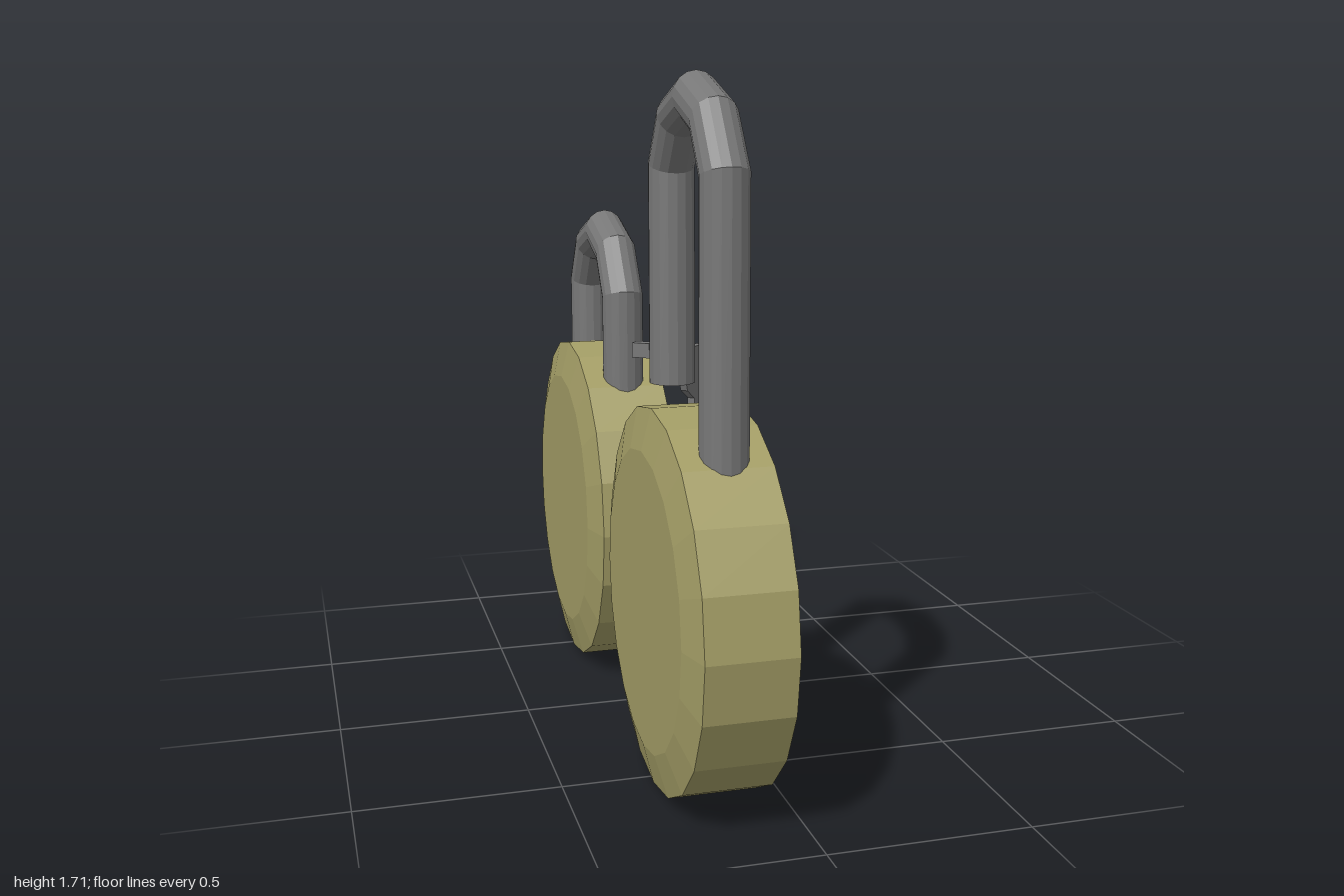
import * as THREE from 'three';

const brass = new THREE.MeshStandardMaterial({ color: 0xa39d66, flatShading: true });
const steel = new THREE.MeshStandardMaterial({ color: 0x777777, flatShading: true });
const dark = new THREE.MeshStandardMaterial({ color: 0x333333, side: THREE.BackSide });

const SIDES = 20;
const BODY_Y = 0.468;
const BAR_X = -0.17;

function add(parent, name, geometry, material, x = 0, y = 0, z = 0) {
  const mesh = new THREE.Mesh(geometry, material);
  mesh.name = name;
  mesh.position.set(x, y, z);
  parent.add(mesh);
  return mesh;
}

// Round hole with a rounded slot below it
function keyholeOutline(Type) {
  const cy = -0.077, r = 0.062, half = 0.028;
  const a = Math.asin(half / r);
  const outline = new Type();
  outline.absarc(0, cy, r, -Math.PI / 2 + a, Math.PI * 1.5 - a, false);
  outline.lineTo(-half, -0.185);
  outline.lineTo(-half * 0.6, -0.2);
  outline.lineTo(half * 0.6, -0.2);
  outline.lineTo(half, -0.185);
  outline.closePath();
  return outline;
}

// Round bar swept along a path of [z, y] points with mitred corners
function bentBar(path, radius, sides = 16) {
  const pts = path.map(([z, y]) => new THREE.Vector2(z, y));
  const last = pts.length - 1;
  const side = (i) => {
    const t = pts[i + 1].clone().sub(pts[i]).normalize();
    return new THREE.Vector2(t.y, -t.x);
  };
  const pos = [], index = [];
  pts.forEach((p, i) => {
    const a = side(Math.max(i - 1, 0)), b = side(Math.min(i, last - 1));
    const n = a.clone().add(b).divideScalar(1 + a.dot(b));
    for (let j = 0; j < sides; j++) {
      const ang = (j / sides) * Math.PI * 2, c = Math.cos(ang) * radius;
      pos.push(Math.sin(ang) * radius, p.y + n.y * c, p.x + n.x * c);
    }
  });
  for (let i = 0; i < last; i++) {
    for (let j = 0; j < sides; j++) {
      const k = (j + 1) % sides;
      const a = i * sides + j, b = i * sides + k;
      index.push(a, b, b + sides, a, b + sides, a + sides);
    }
  }
  // end caps
  const end = last * sides;
  for (let j = 1; j < sides - 1; j++) {
    index.push(0, j + 1, j, end, end + j, end + j + 1);
  }
  const g = new THREE.BufferGeometry();
  g.setAttribute('position', new THREE.Float32BufferAttribute(pos, 3));
  g.setIndex(index);
  g.computeVertexNormals();
  return g;
}

function makeBody() {
  const body = new THREE.Group();
  body.name = 'body';
  body.position.y = BODY_Y;

  // Chamfered case with a raised rim around the face
  const profile = [
    [0, -0.305], [0.365, -0.305], [0.466, -0.28], [0.466, -0.065], [0.365, -0.037],
    [0.33, -0.037], [0.33, -0.025], [0.3, -0.025], [0.3, -0.038],
  ].map(([r, h]) => new THREE.Vector2(r, h));
  add(body, 'case', new THREE.LatheGeometry(profile, SIDES).rotateZ(-Math.PI / 2), brass);

  // Face disc cut by the keyhole
  const disc = new THREE.Shape();
  for (let i = 0; i < SIDES; i++) {
    const a = (i / SIDES) * Math.PI * 2;
    disc[i ? 'lineTo' : 'moveTo'](0.3 * Math.cos(a), 0.3 * Math.sin(a));
  }
  disc.closePath();
  disc.holes.push(keyholeOutline(THREE.Path));
  add(body, 'face', new THREE.ShapeGeometry(disc).rotateY(Math.PI / 2), brass, -0.038);

  // Sunken keyhole, seen from its inside
  const pocket = new THREE.ExtrudeGeometry(keyholeOutline(THREE.Shape),
    { depth: 0.03, bevelEnabled: false });
  add(body, 'keyhole', pocket.rotateY(Math.PI / 2), dark, -0.068);
  return body;
}

function makeLock(name, z, lift, freeEnd) {
  const lock = new THREE.Group();
  lock.name = name;
  lock.position.z = z;
  lock.add(makeBody());
  const path = [
    [0.23, 0.75], [0.23, 1.095 + lift], [0.144, 1.212 + lift], [0, 1.258 + lift],
    [-0.144, 1.212 + lift], [-0.23, 1.095 + lift], [-0.23, freeEnd],
  ];
  add(lock, 'shackle', bentBar(path, 0.057), steel, BAR_X);
  return lock;
}

function makeKey() {
  const key = new THREE.Group();
  key.name = 'key';
  key.position.set(0.228, 0, -0.928);
  key.rotation.y = Math.PI / 4;
  const depth = 0.026;

  // Ten-sided head and notched shaft in one outline
  const shape = new THREE.Shape();
  shape.moveTo(0.032, 0.66);
  for (let i = -1; i <= 6; i++) {
    const a = (i / 10) * Math.PI * 2;
    shape.lineTo(0.094 * Math.cos(a), 0.746 + 0.092 * Math.sin(a));
  }
  [[-0.032, 0.66], [-0.032, 0.415], [-0.018, 0.4], [-0.036, 0.385], [-0.034, 0.362],
    [-0.012, 0.346], [0.02, 0.346], [0.032, 0.36]].forEach(([x, y]) => shape.lineTo(x, y));
  shape.closePath();
  const blade = new THREE.ExtrudeGeometry(shape, { depth, bevelEnabled: false });
  add(key, 'keyBlade', blade.translate(0, 0, -depth / 2), steel);

  // Teeth crossing the shaft
  for (const y of [0.575, 0.492]) {
    add(key, 'keyTooth', new THREE.BoxGeometry(0.115, 0.019, 0.018), steel, 0, y, 0);
  }
  return key;
}

export function createModel() {
  const model = new THREE.Group();
  model.name = 'padlocksAndKey';

  const open = makeLock('openPadlock', 0.535, 0.39, 0.95);
  // Small catches around the free end of the raised shackle
  for (const deg of [-52, -10, 33]) {
    const catchPiece = add(open, 'shackleCatch',
      new THREE.BoxGeometry(0.03, 0.037, 0.06).translate(0, 0, -0.072), steel,
      BAR_X, 1.026, -0.23);
    catchPiece.rotation.y = -THREE.MathUtils.degToRad(deg);
  }
  model.add(open, makeLock('closedPadlock', -0.48, 0, 0.75), makeKey());
  return model;
}
